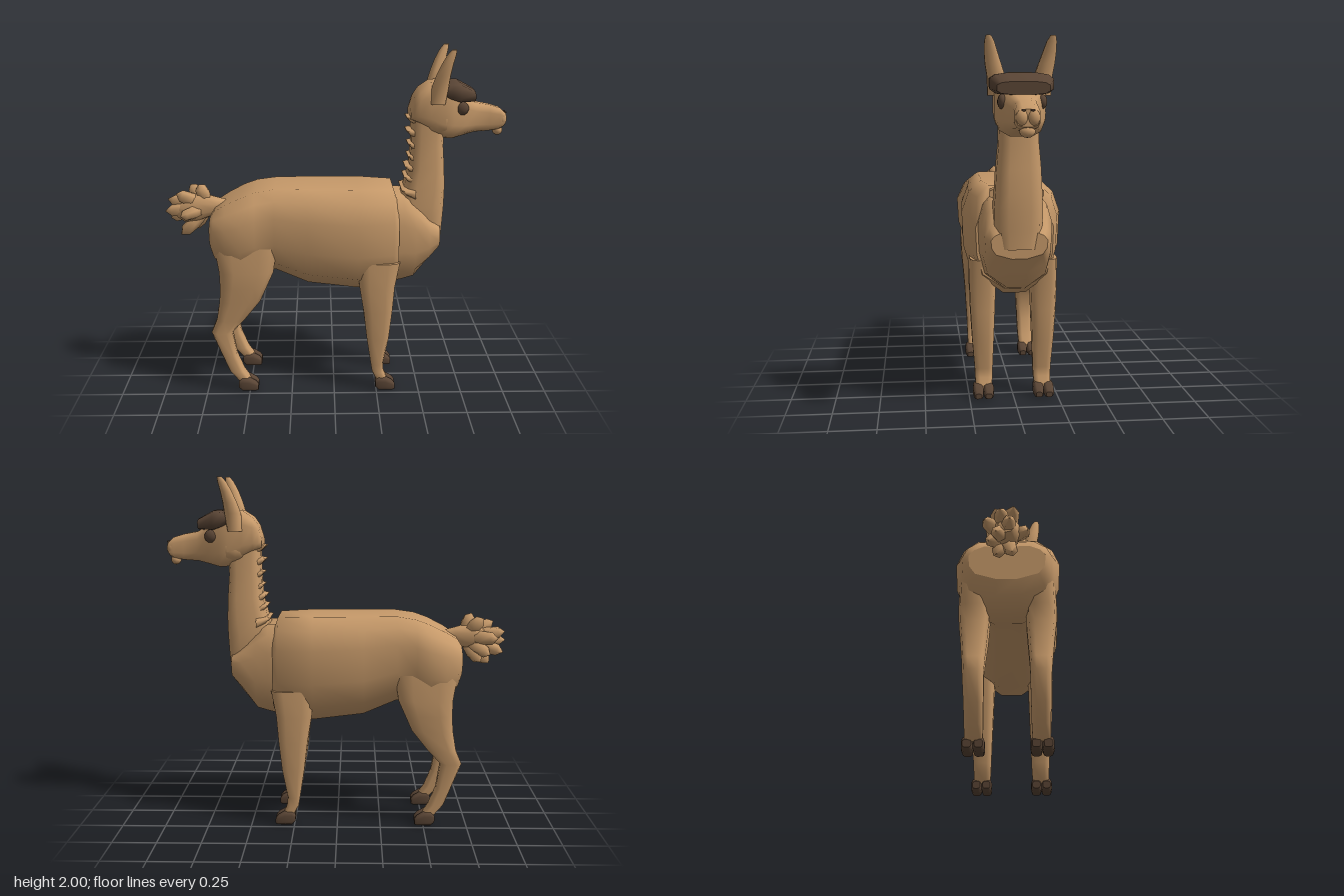
import * as THREE from 'three';

const coat = new THREE.MeshStandardMaterial({ color: 0xc79a6a });
coat.name = 'tan coat';
const dark = new THREE.MeshStandardMaterial({ color: 0x5a4535 });
dark.name = 'dark brown';

// Unit outlines as [z, height] pairs
const squircle = (n, p) => Array.from({ length: n }, (_, i) => {
  const a = ((i + 0.5) / n) * Math.PI * 2, c = Math.cos(a), s = Math.sin(a);
  return [Math.sign(c) * Math.abs(c) ** p, Math.sign(s) * Math.abs(s) ** p];
});
const ROUND = squircle(10, 0.85), BOXY = squircle(12, 0.6);
const half = [[0.6, 1], [0.86, 0.78], [1, 0.42], [0.97, -0.2], [0.82, -0.66], [0.26, -1]];
const TORSO = [...half, ...half.map(([z, y]) => [-z, y]).reverse()];

// Skin a list of rings, with separate cap vertices so the ends stay crisp
function skin(rings) {
  const n = rings[0].length, pos = [], idx = [];
  rings.forEach(r => r.forEach(p => pos.push(...p)));
  for (let k = 0; k < rings.length - 1; k++)
    for (let i = 0; i < n; i++) {
      const a = k * n + i, b = k * n + (i + 1) % n;
      idx.push(a, b, b + n, a, b + n, a + n);
    }
  [rings[0], rings[rings.length - 1]].forEach((r, end) => {
    const base = pos.length / 3;
    r.forEach(p => pos.push(...p));
    for (let i = 1; i < n - 1; i++)
      idx.push(...(end ? [base, base + i, base + i + 1] : [base, base + i + 1, base + i]));
  });
  // Turn the faces outward if the enclosed volume is negative
  const v = i => new THREE.Vector3().fromArray(pos, i * 3);
  let volume = 0;
  for (let i = 0; i < idx.length; i += 3)
    volume += v(idx[i]).dot(v(idx[i + 1]).cross(v(idx[i + 2])));
  if (volume < 0) idx.reverse();
  const g = new THREE.BufferGeometry();
  g.setAttribute('position', new THREE.Float32BufferAttribute(pos, 3));
  g.setIndex(idx);
  g.computeVertexNormals();
  return g;
}

// Sections along x: [x, top, bottom, half width]
const alongX = (rows, outline, cz = 0) => skin(rows.map(([x, t, b, w]) =>
  outline.map(([z, y]) => [x, (t + b) / 2 + y * (t - b) / 2, cz + z * w])));

// Sections along y: [y, back x, front x, half width, centre z]
const alongY = (rows, outline, side = 1) => skin(rows.map(([y, x0, x1, w, cz = 0]) =>
  outline.map(([z, x]) => [(x0 + x1) / 2 + x * (x1 - x0) / 2, y, side * cz + z * w])));

export function createModel() {
  const model = new THREE.Group();
  model.name = 'llama';
  const add = (name, geometry, material = coat, parent = model) => {
    const m = new THREE.Mesh(geometry, material);
    m.name = name;
    parent.add(m);
    return m;
  };
  const blob = (name, x, y, z, rx, ry, rz, material = coat) => {
    const m = add(name, new THREE.SphereGeometry(1, 10, 7), material);
    m.position.set(x, y, z);
    m.scale.set(rx, ry, rz);
    return m;
  };

  // Woolly body and the chest in front of it
  add('body', alongX([
    [-0.71, 1.05, 0.86, 0.2], [-0.685, 1.09, 0.78, 0.235], [-0.62, 1.13, 0.7, 0.255],
    [-0.53, 1.175, 0.69, 0.277], [-0.45, 1.205, 0.71, 0.265], [-0.34, 1.222, 0.715, 0.247],
    [-0.15, 1.222, 0.635, 0.268], [0.14, 1.22, 0.6, 0.28], [0.34, 1.212, 0.61, 0.238],
    [0.37, 1.12, 0.64, 0.215]], TORSO));
  add('chest', alongX([
    [0.28, 1.17, 0.62, 0.21], [0.4, 1.17, 0.645, 0.2], [0.47, 1.12, 0.665, 0.19],
    [0.55, 1.04, 0.765, 0.178], [0.61, 0.99, 0.85, 0.15]], TORSO));

  // Neck with a loose lower edge, and tufts of mane down its back
  add('neck', alongY([
    [0.9, 0.4, 0.625, 0.115], [1.0, 0.36, 0.632, 0.13], [1.1, 0.36, 0.638, 0.132],
    [1.2, 0.4, 0.64, 0.126], [1.32, 0.43, 0.635, 0.12], [1.45, 0.44, 0.625, 0.108],
    [1.58, 0.44, 0.63, 0.105], [1.66, 0.46, 0.62, 0.1]], BOXY));
  for (const [x, y, w] of [[0.41, 1.61, 0.085], [0.41, 1.535, 0.09], [0.42, 1.46, 0.09],
    [0.42, 1.39, 0.095], [0.405, 1.33, 0.1], [0.4, 1.27, 0.11], [0.385, 1.2, 0.15]])
    add('maneTuft', alongX([[x, y + 0.006, y, w * 0.75],
      [x + 0.025, y + 0.012, y - 0.025, w * 0.95], [x + 0.08, y + 0.01, y - 0.055, w]], BOXY));

  // Head and muzzle
  add('head', alongX([
    [0.43, 1.66, 1.6, 0.1], [0.45, 1.73, 1.59, 0.12], [0.48, 1.775, 1.575, 0.132],
    [0.54, 1.815, 1.54, 0.138], [0.62, 1.82, 1.495, 0.135], [0.67, 1.8, 1.49, 0.125],
    [0.74, 1.73, 1.51, 0.1], [0.8, 1.695, 1.525, 0.072], [0.88, 1.68, 1.53, 0.063],
    [0.94, 1.662, 1.54, 0.064], [0.965, 1.64, 1.555, 0.058]], BOXY));
  blob('lowerLip', 0.935, 1.532, 0, 0.03, 0.03, 0.04);

  // Dark fringe above the eyes
  add('fringe', alongX([
    [0.61, 1.8, 1.735, 0.145], [0.655, 1.815, 1.715, 0.166], [0.7, 1.815, 1.7, 0.166],
    [0.785, 1.77, 1.705, 0.135]], BOXY), dark);

  for (const side of [1, -1]) {
    // Face details
    blob('eye', 0.715, 1.67, side * 0.1, 0.038, 0.038, 0.026, dark);
    blob('upperLip', 0.952, 1.6, side * 0.03, 0.03, 0.043, 0.033);
    blob('nostril', 0.974, 1.635, side * 0.022, 0.006, 0.006, 0.012, dark);
    blob('cheek', 0.6, 1.6, side * 0.085, 0.09, 0.075, 0.05);

    // Upright ear
    add('ear', alongY([
      [1.7, 0.53, 0.62, 0.05, 0.115], [1.8, 0.54, 0.635, 0.048, 0.122],
      [1.86, 0.56, 0.64, 0.043, 0.137], [1.92, 0.585, 0.65, 0.035, 0.15],
      [1.97, 0.612, 0.662, 0.026, 0.158], [2.0, 0.637, 0.665, 0.014, 0.164]], ROUND, side));

    // Legs, hips running into the body
    add('frontLeg', alongY([
      [0.8, 0.13, 0.38, 0.07, 0.175], [0.65, 0.145, 0.352, 0.075, 0.172],
      [0.5, 0.17, 0.34, 0.07, 0.172], [0.33, 0.19, 0.322, 0.062, 0.17],
      [0.16, 0.217, 0.29, 0.052, 0.166], [0.11, 0.225, 0.295, 0.05, 0.166],
      [0.05, 0.255, 0.32, 0.046, 0.168]], BOXY, side));
    add('hindLeg', alongY([
      [0.92, -0.69, -0.32, 0.08, 0.17], [0.75, -0.662, -0.345, 0.082, 0.175],
      [0.66, -0.66, -0.385, 0.078, 0.174], [0.57, -0.665, -0.425, 0.07, 0.172],
      [0.45, -0.685, -0.52, 0.06, 0.17], [0.37, -0.718, -0.595, 0.055, 0.168],
      [0.22, -0.66, -0.572, 0.05, 0.166], [0.12, -0.62, -0.532, 0.048, 0.166],
      [0.05, -0.56, -0.485, 0.045, 0.168]], BOXY, side));

    // Cloven hooves, two toes each
    for (const x of [0.245, -0.565])
      for (const toe of [-1, 1])
        add('hoof', alongX([
          [x, 0.06, 0.02, 0.022], [x + 0.02, 0.08, 0, 0.029], [x + 0.06, 0.078, 0, 0.031],
          [x + 0.1, 0.055, 0, 0.027], [x + 0.115, 0.035, 0.005, 0.018]],
        BOXY, side * 0.171 + toe * 0.029), dark);
  }

  // Bushy tail: stalk, core and radiating locks
  const tail = new THREE.Group();
  tail.name = 'tail';
  model.add(tail);
  add('tailStalk', alongX([
    [-0.6, 1.12, 1.02, 0.04], [-0.68, 1.14, 1.04, 0.05], [-0.78, 1.17, 1.0, 0.075],
    [-0.86, 1.13, 0.99, 0.07], [-0.91, 1.09, 1.02, 0.04]], ROUND), coat, tail);
  const root = new THREE.Vector3(-0.72, 1.08, 0);
  for (const [x, y, z] of [[-0.78, 1.22, 0.02], [-0.84, 1.2, -0.06], [-0.91, 1.17, 0.04],
    [-0.97, 1.12, -0.03], [-0.98, 1.06, 0.02], [-0.96, 1.0, -0.05], [-0.89, 0.92, 0.03],
    [-0.83, 0.94, -0.05], [-0.92, 1.09, -0.11], [-0.88, 1.05, 0.11], [-0.88, 0.99, -0.09]]) {
    const dir = new THREE.Vector3(x, y, z).sub(root), len = dir.length();
    const profile = [[0, 0], [0.025, 0.1], [0.04, 0.55], [0.034, 0.85], [0, 1]]
      .map(([r, t]) => new THREE.Vector2(r, t * len));
    const lock = add('tailLock', new THREE.LatheGeometry(profile, 6), coat, tail);
    lock.position.copy(root);
    lock.quaternion.setFromUnitVectors(new THREE.Vector3(0, 1, 0), dir.normalize());
  }
  return model;
}
